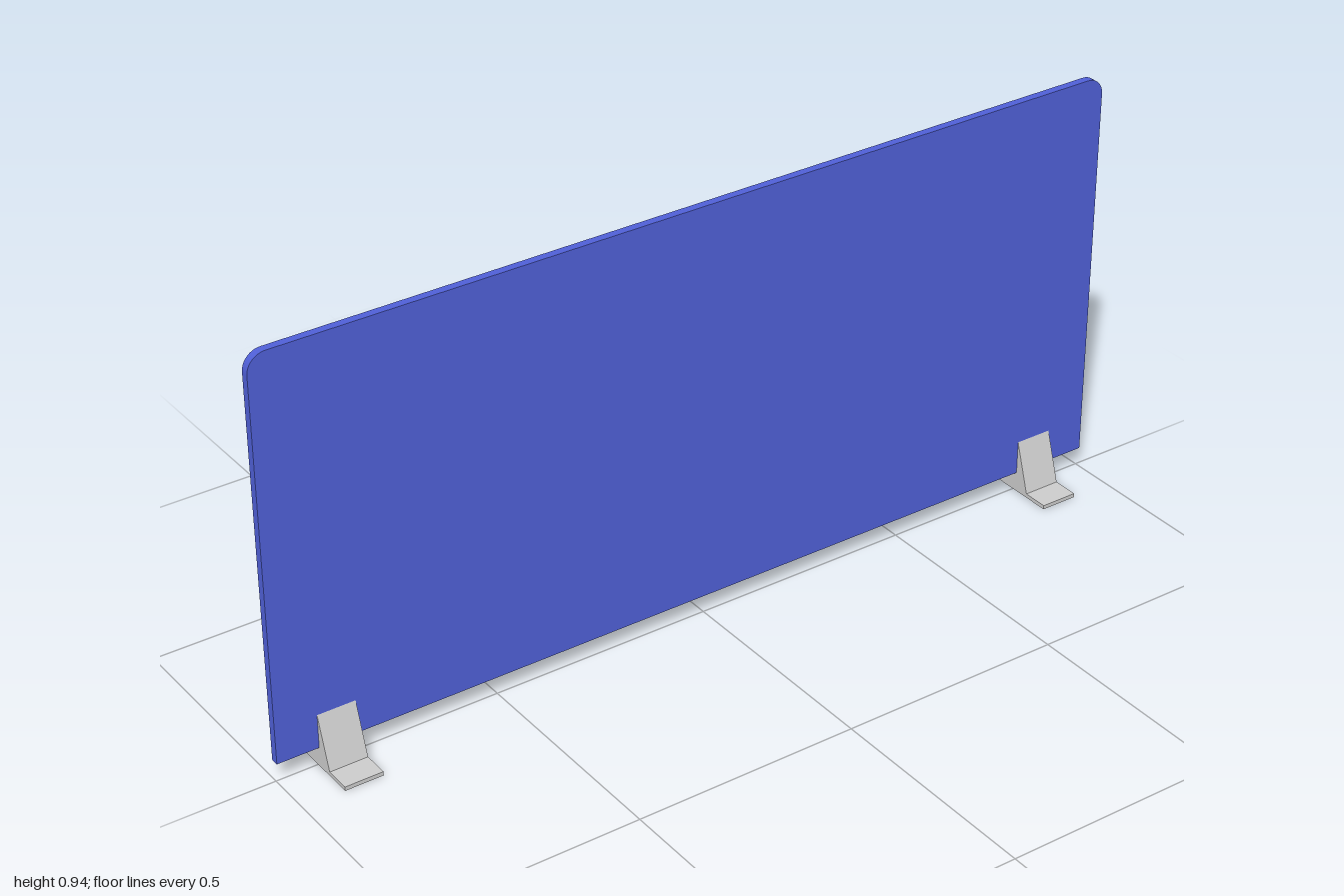
import * as THREE from 'three';

const fabric = new THREE.MeshStandardMaterial({ color: 0x4f5fd6 });
const metal = new THREE.MeshStandardMaterial({ color: 0xcccccc });

// Upright screen with rounded top corners, drawn in the z-y plane
function makePanel() {
  const half = 1, bottom = 0.045, top = 0.94, r = 0.04, thickness = 0.018;
  const s = new THREE.Shape();
  s.moveTo(-half, bottom);
  s.lineTo(half, bottom);
  s.lineTo(half, top - r);
  s.absarc(half - r, top - r, r, 0, Math.PI / 2, false);
  s.lineTo(-half + r, top);
  s.absarc(-half + r, top - r, r, Math.PI / 2, Math.PI, false);
  s.closePath();
  const geo = new THREE.ExtrudeGeometry(s, { depth: thickness, bevelEnabled: false, curveSegments: 8 });
  geo.translate(0, 0, -thickness / 2).rotateY(Math.PI / 2);
  const panel = new THREE.Mesh(geo, fabric);
  panel.name = 'screenPanel';
  return panel;
}

// Flat base plate with a tapered clamp that grips the panel
function makeFoot(name, z) {
  const depth = 0.085;
  const right = [[0.103, 0], [0.103, 0.009], [0.045, 0.009], [0.0085, 0.123]];
  const left = right.map(([x, y]) => [-x, y]).reverse();
  const s = new THREE.Shape([...right, ...left].map(([x, y]) => new THREE.Vector2(x, y)));
  const geo = new THREE.ExtrudeGeometry(s, { depth, bevelEnabled: false });
  geo.translate(0, 0, -depth / 2);
  const foot = new THREE.Mesh(geo, metal);
  foot.name = name;
  foot.position.z = z;
  return foot;
}

export function createModel() {
  const group = new THREE.Group();
  group.name = 'deskDivider';
  group.add(makePanel(), makeFoot('frontFoot', 0.865), makeFoot('backFoot', -0.865));
  return group;
}
